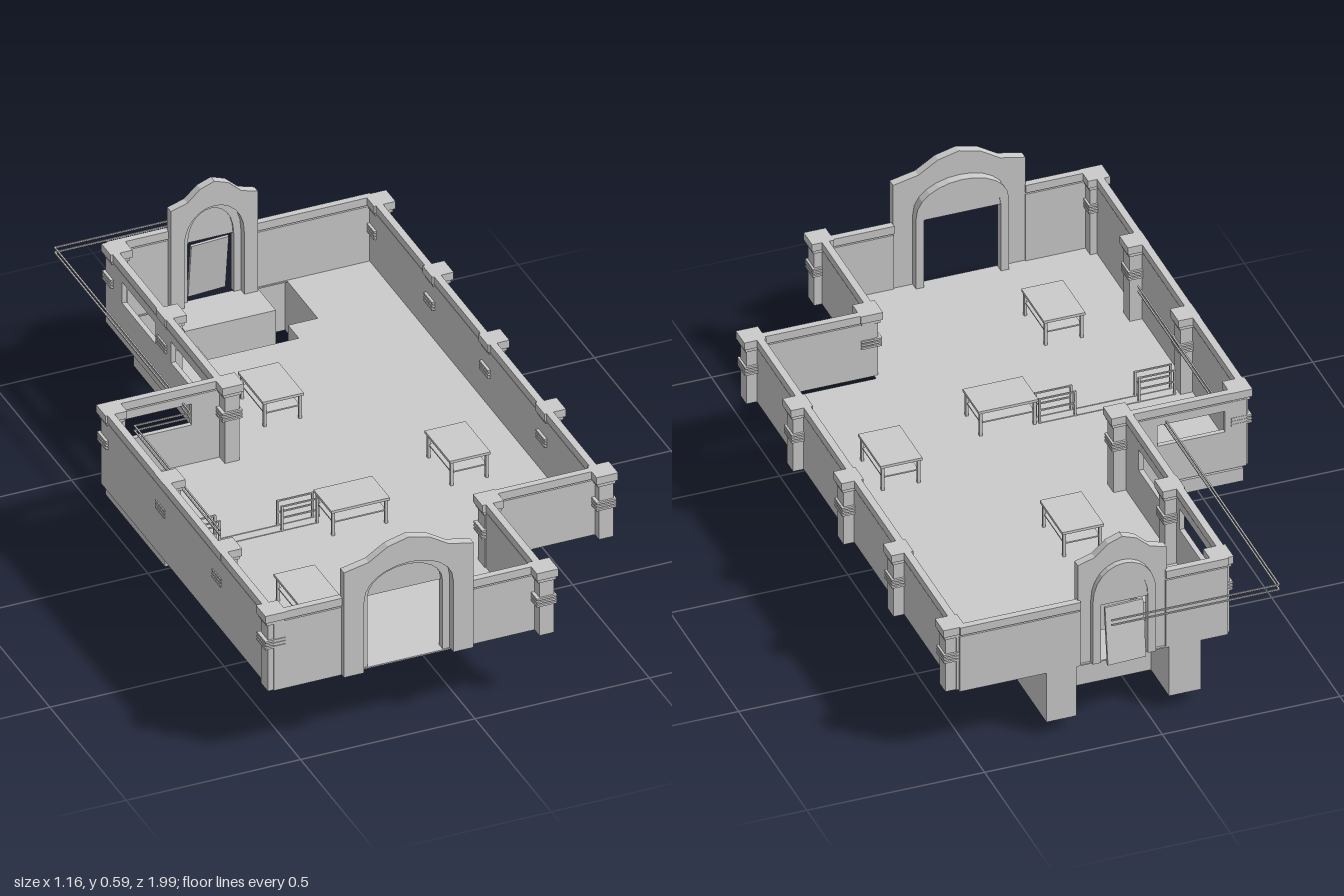
import * as THREE from 'three';

const mat = new THREE.MeshStandardMaterial({ color: 0xcccccc, flatShading: true });
const thin = new THREE.MeshStandardMaterial({ color: 0xcccccc, flatShading: true, side: THREE.DoubleSide });
const FLOOR = 0.2, HIGH = 0.44, LOW = 0.4;

function add(parent, name, geo, material = mat) {
  const mesh = new THREE.Mesh(geo, material);
  mesh.name = name;
  parent.add(mesh);
  return mesh;
}

// Box given by its minimum and maximum corners
function box(parent, name, x0, y0, z0, x1, y1, z1) {
  const mesh = add(parent, name, new THREE.BoxGeometry(x1 - x0, y1 - y0, z1 - z0));
  mesh.position.set((x0 + x1) / 2, (y0 + y1) / 2, (z0 + z1) / 2);
  return mesh;
}

const poly = (pts) => new THREE.Shape(pts.map(([x, y]) => new THREE.Vector2(x, y)));
const rect = (x0, y0, x1, y1) => poly([[x0, y0], [x1, y0], [x1, y1], [x0, y1]]);
const extrude = (shape, depth) => new THREE.ExtrudeGeometry(shape, { depth, bevelEnabled: false });

// Horizontal slab from an outline in x, z
function slab(parent, name, outline, hole, top, depth) {
  const shape = poly(outline.map(([x, z]) => [x, -z]));
  if (hole) shape.holes.push(poly(hole.map(([x, z]) => [x, -z])));
  const mesh = add(parent, name, extrude(shape, depth).rotateX(-Math.PI / 2), thin);
  mesh.position.y = top - depth;
}

// Open vertical faces along a path in x, z, each with its own bottom
function sheet(parent, name, path, bottoms) {
  for (let i = 0; i + 1 < path.length; i++) {
    const [x0, z0] = path[i], [x1, z1] = path[i + 1], y = bottoms[i];
    const geo = new THREE.PlaneGeometry(Math.hypot(x1 - x0, z1 - z0), FLOOR - y);
    geo.rotateY(-Math.atan2(z1 - z0, x1 - x0));
    add(parent, name, geo, thin).position.set((x0 + x1) / 2, (y + FLOOR) / 2, (z0 + z1) / 2);
  }
}

// Wall with a raised coping; windows are [start, end] distances along it
function wall(parent, x0, z0, x1, z1, top, windows = []) {
  const g = new THREE.Group(), len = Math.hypot(x1 - x0, z1 - z0);
  g.name = 'wall';
  const face = rect(0, FLOOR, len, top - 0.03);
  for (const [a, b] of windows) face.holes.push(rect(a, 0.32, b, 0.385));
  add(g, 'wallPanel', extrude(face, 0.014).translate(0, 0, -0.007));
  box(g, 'coping', 0, top - 0.024, -0.01, len, top, 0.01);
  g.position.set(x0, 0, z0);
  g.rotation.y = -Math.atan2(z1 - z0, x1 - x0);
  parent.add(g);
}

function pillar(parent, x, z, top) {
  const g = new THREE.Group();
  g.name = 'pillar';
  box(g, 'shaft', -0.02, FLOOR, -0.022, 0.022, top, 0.022);
  for (let i = 0; i < 3; i++) {
    const y = top - 0.107 + i * 0.01;
    box(g, 'band', -0.03, y, -0.028, 0.028, y + 0.006, 0.028);
  }
  box(g, 'neck', -0.026, top - 0.034, -0.026, 0.026, top - 0.02, 0.026);
  box(g, 'capital', -0.031, top - 0.023, -0.031, 0.031, top, 0.031);
  g.position.set(x, 0, z);
  parent.add(g);
}

// Arch curve from +s to -s
function arch(s, spring, crown) {
  return Array.from({ length: 13 }, (_, i) => {
    const a = Math.PI * i / 12;
    return [s * Math.cos(a), spring + (crown - spring) * Math.sin(a) ** 0.9];
  });
}

// Portal: a curved-top slab cut by an arch, with a stepped frame and filled head behind it
function portal(parent, name, w, shoulder, crown, open, spring, apex, depth, step) {
  const g = new THREE.Group();
  g.name = name;
  const rise = crown - shoulder, half = [[1, 0], [0.62, 0.23], [0.32, 0.77]];
  const top = [...half.map(([x, y]) => [x * w, shoulder + y * rise]), [0, crown],
    ...half.reverse().map(([x, y]) => [-x * w, shoulder + y * rise])];
  const outer = open + 0.02, lift = spring + 0.01;
  add(g, 'portalFace', extrude(poly([[-w, FLOOR], [-outer, FLOOR], ...arch(outer, lift, apex + 0.022).reverse(),
    [outer, FLOOR], [w, FLOOR], ...top]), depth));
  add(g, 'archFrame', extrude(poly([[outer + 0.003, FLOOR], ...arch(outer + 0.003, lift, apex + 0.025),
    [-outer - 0.003, FLOOR], [-open, FLOOR], ...arch(open, spring, apex).reverse(), [open, FLOOR]]), step)
    .translate(0, 0, -step));
  add(g, 'archHead', extrude(poly(arch(open + 0.002, spring, apex + 0.002)), 0.008).translate(0, 0, -step + 0.003));
  parent.add(g);
  return g;
}

function table(parent, x, z, w, d) {
  const g = new THREE.Group();
  g.name = 'table';
  box(g, 'tableTop', -w / 2, 0.272, -d / 2, w / 2, 0.28, d / 2);
  box(g, 'tableShelf', -w / 2 + 0.008, 0.237, -d / 2 + 0.008, w / 2 - 0.008, 0.241, d / 2 - 0.008);
  for (const sx of [-1, 1]) for (const sz of [-1, 1]) {
    const cx = sx * (w / 2 - 0.008), cz = sz * (d / 2 - 0.008);
    box(g, 'tableLeg', cx - 0.004, 0.194, cz - 0.004, cx + 0.004, 0.274, cz + 0.004);
  }
  g.position.set(x, 0, z);
  parent.add(g);
}

// Thin square bar along a path in x, z
function bar(parent, name, path, y, r = 0.002) {
  for (let i = 0; i + 1 < path.length; i++) {
    const [a, b] = path[i], [c, d] = path[i + 1];
    box(parent, name, Math.min(a, c) - r, y - r, Math.min(b, d) - r, Math.max(a, c) + r, y + r, Math.max(b, d) + r);
  }
}

export function createModel() {
  const root = new THREE.Group();
  root.name = 'courtyard';

  // Floor with the stairwell opening
  const well = [[0.2, -0.893], [0.285, -0.893], [0.285, -0.68], [0.2, -0.68], [0.2, -0.61],
    [-0.06, -0.61], [-0.06, -0.68], [-0.15, -0.68], [-0.15, -0.893], [-0.06, -0.893]];
  const opening = well.map(([x, z]) => [x, Math.max(z, -0.88)]);
  slab(root, 'floor', [[-0.225, -0.895], [0.53, -0.895], [0.53, 0.56], [0.205, 0.56],
    [0.205, 0.945], [-0.555, 0.945], [-0.555, -0.165], [-0.225, -0.165]], opening, FLOOR, 0.004);

  // Stairwell walls and the landing, open behind and below
  sheet(root, 'stairwellWall', well, [0.04, 0.04, 0.04, 0, 0, 0, 0.04, 0.04, 0.04]);
  sheet(root, 'landingSide', [[-0.06, -0.893], [-0.06, -0.76], [0.2, -0.76], [0.2, -0.893]], [0.04, 0.04, 0.04]);
  slab(root, 'landingTop', [[-0.06, -0.89], [0.2, -0.89], [0.2, -0.76], [-0.06, -0.76]], null, FLOOR, 0.004);

  // Curved plinth beneath the inner corner
  const plinth = [[-0.545, 0.215], [-0.545, -0.175], [-0.22, -0.175]];
  for (let i = 1; i <= 8; i++) {
    const a = (i / 8) * Math.PI / 2;
    plinth.push([-0.22 + 0.352 * Math.sin(a), 0.215 - 0.39 * Math.cos(a)]);
  }
  slab(root, 'plinth', plinth, null, FLOOR - 0.003, 0.041);

  // Walls: the right wing is taller and has windows
  wall(root, -0.555, 0.945, -0.36, 0.945, HIGH);
  wall(root, -0.555, -0.165, -0.555, 0.945, HIGH);
  wall(root, -0.555, -0.165, -0.225, -0.165, HIGH, [[0.06, 0.25]]);
  wall(root, -0.225, -0.89, -0.225, -0.165, HIGH, [[0.11, 0.33], [0.43, 0.63]]);
  wall(root, -0.225, -0.89, -0.05, -0.89, HIGH);
  wall(root, 0.19, -0.89, 0.53, -0.89, LOW);
  wall(root, 0.53, -0.89, 0.53, 0.58, LOW);
  wall(root, 0.205, 0.58, 0.53, 0.58, LOW);
  wall(root, 0.205, 0.58, 0.205, 0.945, LOW);
  wall(root, 0.01, 0.945, 0.205, 0.945, LOW);

  // Pillars
  for (const [x, z] of [[-0.551, 0.926], [-0.535, 0.595], [-0.535, 0.225], [-0.54, -0.145],
    [-0.205, -0.145], [-0.207, -0.515], [-0.21, -0.865]]) pillar(root, x, z, HIGH);
  for (const [x, z] of [[0.545, -0.865], [0.545, -0.485], [0.545, -0.12], [0.545, 0.25],
    [0.545, 0.592], [0.215, 0.597], [0.212, 0.962]]) pillar(root, x, z, LOW);

  // Portals
  portal(root, 'frontPortal', 0.186, 0.525, 0.59, 0.108, 0.41, 0.49, 0.025, 0.025).position.set(-0.175, 0, 0.942);
  portal(root, 'rearPortal', 0.125, 0.51, 0.573, 0.066, 0.38, 0.475, 0.024, 0.017).position.set(0.07, 0, -0.889);

  // Door panel leaning outside the rear portal
  const door = box(root, 'leaningDoor', 0.015, 0.2, -0.913, 0.125, 0.37, -0.905);
  door.rotation.set(0.13, 0.06, 0);

  // Twin pipe that runs outside the rear and through the inner corner
  for (const y of [0.377, 0.392]) {
    bar(root, 'pipe', [[0.14, -0.997], [-0.33, -0.997], [-0.33, -0.11], [-0.49, -0.11], [-0.49, 0.45]], y);
  }

  // Floor rails with a short handrail at each end
  for (const z of [0.21, 0.24]) {
    bar(root, 'floorRail', [[-0.5, z], [-0.12, z]], FLOOR);
    for (const x of [-0.5, -0.22]) {
      for (const y of [0.24, 0.275]) bar(root, 'handrail', [[x, z], [x + 0.1, z]], y);
      for (const px of [x, x + 0.1]) box(root, 'handrailPost', px - 0.003, FLOOR, z - 0.003, px + 0.003, 0.277, z + 0.003);
    }
  }

  // Tables
  table(root, -0.005, -0.325, 0.117, 0.165);
  table(root, 0.328, 0.138, 0.117, 0.165);
  table(root, -0.03, 0.262, 0.168, 0.117);
  table(root, -0.318, 0.625, 0.117, 0.165);
  return root;
}
